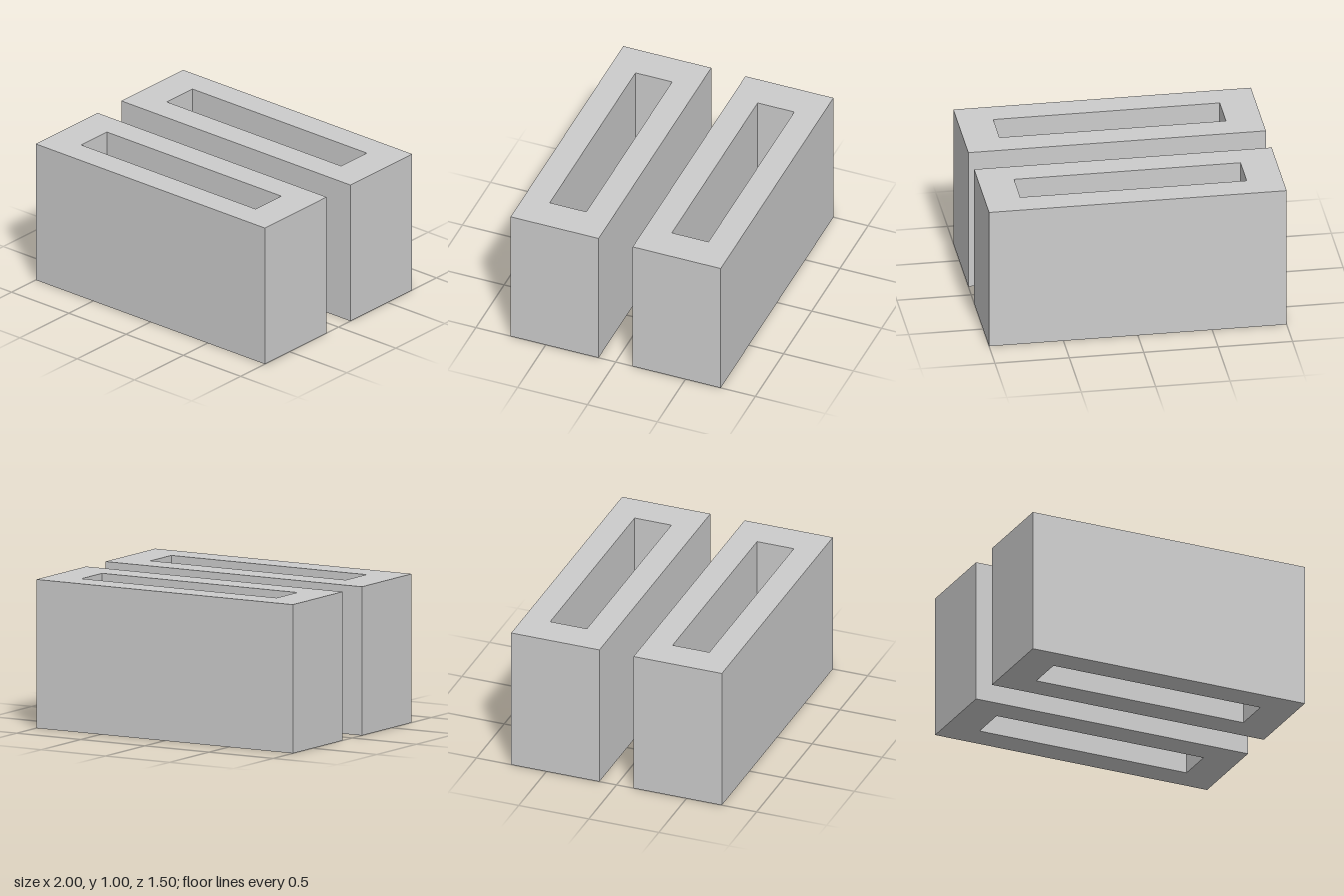
import * as THREE from 'three';

// Rectangle outline centred on the origin
function rectangle(PathType, width, depth) {
  const w = width / 2, d = depth / 2;
  return new PathType([
    new THREE.Vector2(-w, -d),
    new THREE.Vector2(w, -d),
    new THREE.Vector2(w, d),
    new THREE.Vector2(-w, d),
  ]);
}

export function createModel() {
  const model = new THREE.Group();
  model.name = 'hollowBlocks';
  const material = new THREE.MeshStandardMaterial({ color: 0xcccccc, flatShading: true });

  // Block with a rectangular slot running through its full height
  const outline = rectangle(THREE.Shape, 2, 0.63);
  outline.holes.push(rectangle(THREE.Path, 1.522, 0.262));
  const geometry = new THREE.ExtrudeGeometry(outline, { depth: 1, bevelEnabled: false });
  geometry.rotateX(-Math.PI / 2);

  // Two matching blocks, one behind the other
  for (const [name, z] of [['frontBlock', 0.437], ['backBlock', -0.437]]) {
    const block = new THREE.Mesh(geometry, material);
    block.name = name;
    block.position.z = z;
    model.add(block);
  }
  return model;
}
